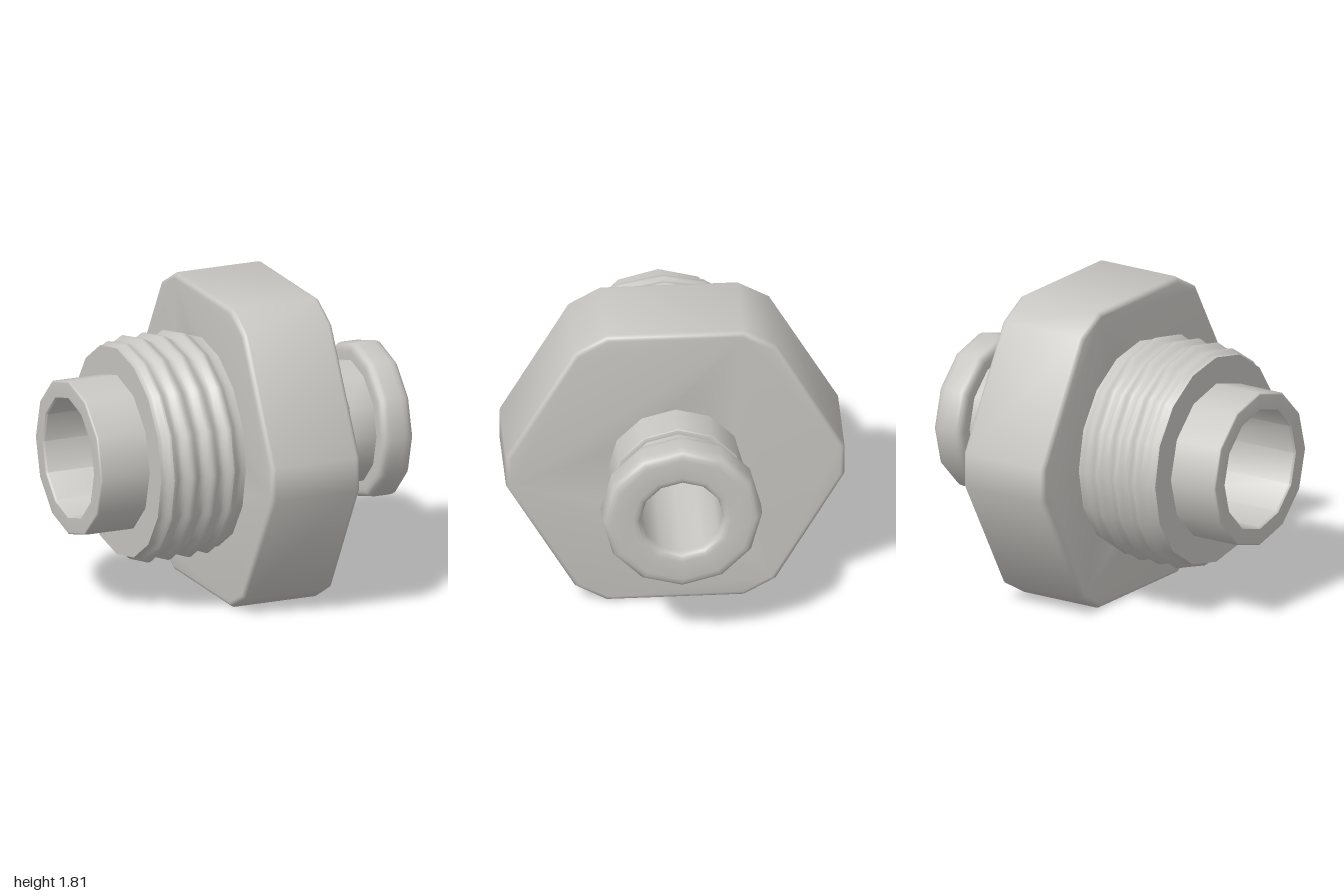
import * as THREE from 'three';
import { toCreasedNormals } from 'three/addons/utils/BufferGeometryUtils.js';

const AXIS_Y = 0.907;

// Profile of [axial, radius, corner rounding] entries, with rounded corners
function roundedProfile(pts) {
  const v = pts.map(([x, r]) => new THREE.Vector2(r, x));
  const out = [];
  pts.forEach(([, , round = 0], i) => {
    const p = v[i];
    if (!round || i === 0 || i === pts.length - 1) { out.push(p); return; }
    const a = p.clone().add(v[i - 1].clone().sub(p).setLength(round));
    const b = p.clone().add(v[i + 1].clone().sub(p).setLength(round));
    out.push(...new THREE.QuadraticBezierCurve(a, p, b).getPoints(4));
  });
  return out;
}

// Lathe turned so that its axis runs along x
function turned(points, sides) {
  return new THREE.LatheGeometry(points, sides).rotateZ(-Math.PI / 2);
}

export function createModel() {
  const group = new THREE.Group();
  const metal = new THREE.MeshStandardMaterial({ color: 0xc8c6c2 });
  metal.name = 'light grey metal';

  const add = (name, geometry) => {
    const mesh = new THREE.Mesh(toCreasedNormals(geometry, 0.8), metal);
    mesh.name = name;
    mesh.position.y = AXIS_Y;
    group.add(mesh);
  };

  // Hollow core: left tube, collar, neck, end flange and the stepped bore
  add('hollowCore', turned(roundedProfile([
    [-0.99, 0.355],
    [-1, 0.365],
    [-1, 0.465, 0.012],
    [-0.1, 0.465],
    [-0.1, 0.395],
    [0.64, 0.395, 0.012],
    [0.64, 0.365],
    [0.8, 0.365],
    [0.8, 0.467, 0.05],
    [1, 0.467, 0.06],
    [1, 0.24, 0.05],
    [-0.2, 0.24],
    [-0.2, 0.355],
    [-0.99, 0.355],
  ]), 12));

  // Hexagonal nut with cut corners and soft edges
  const half = [[0.4, 0.905], [0.585, 0.8], [0.985, 0.1]];
  const right = [...half, ...half.map(([z, y]) => [z, -y]).reverse()];
  const outline = [...right, ...right.map(([z, y]) => [-z, -y])];
  const shape = new THREE.Shape(outline.map(([z, y]) => new THREE.Vector2(z, y)));
  const hole = new THREE.Path();
  hole.absarc(0, 0, 0.3, 0, Math.PI * 2);
  shape.holes.push(hole);
  const nut = new THREE.ExtrudeGeometry(shape, {
    depth: 0.51, curveSegments: 12, bevelEnabled: true, bevelSegments: 4,
    bevelSize: 0.03, bevelThickness: 0.03, bevelOffset: -0.03,
  });
  add('hexNut', nut.translate(0, 0, -0.12).rotateY(Math.PI / 2));

  // Threaded sleeve: a drum whose surface swells along a helix
  const start = -0.69, end = -0.13, steps = 40;
  const profile = [new THREE.Vector2(0.44, start)];
  for (let i = 0; i <= steps; i++) {
    profile.push(new THREE.Vector2(0.625, start + (end - start) * i / steps));
  }
  const thread = turned(profile, 16);
  const pos = thread.attributes.position;
  for (let i = 0; i < pos.count; i++) {
    const x = pos.getX(i), y = pos.getY(i), z = pos.getZ(i);
    if (Math.hypot(y, z) < 0.6) continue;
    const fade = THREE.MathUtils.smoothstep(x, -0.68, -0.61)
      * (1 - THREE.MathUtils.smoothstep(x, -0.25, -0.16));
    const turn = Math.atan2(z, y) / (Math.PI * 2);
    const ridge = 0.5 + 0.5 * Math.cos(Math.PI * 2 * ((x + 0.27) / 0.13 - turn));
    const k = 1 + 0.066 * fade * (0.25 + 0.75 * ridge);
    pos.setXYZ(i, x, y * k, z * k);
  }
  add('threadedSleeve', thread);

  return group;
}
